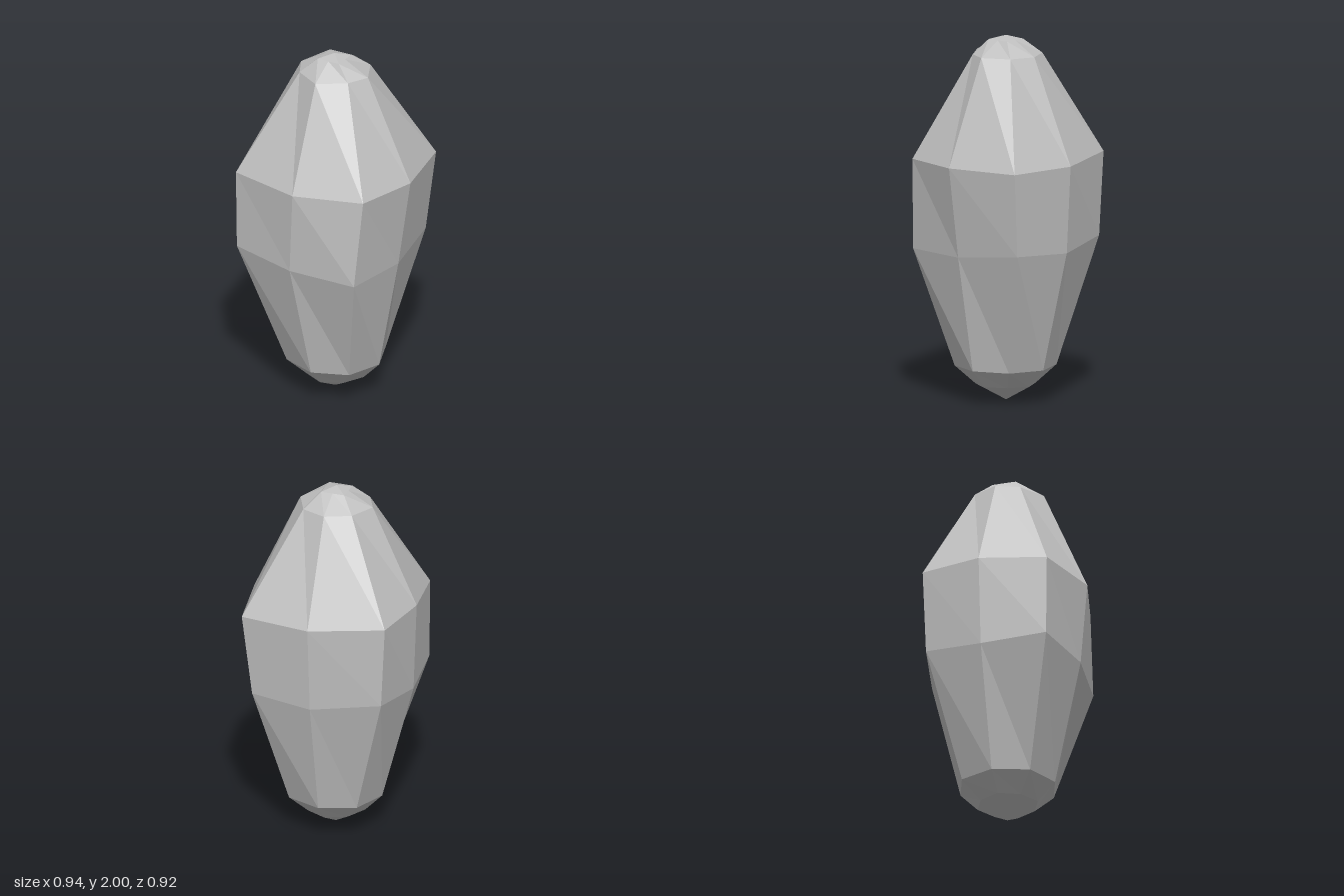
import * as THREE from 'three';

// Eight points round an axis, clockwise from the back as seen from above.
// mid: half-width at the face centres, corner: half-width at the corners.
const evenRing = (y, mid, corner, ox = 0, oz = 0) => [
  [0, -mid], [corner, -corner], [mid, 0], [corner, corner],
  [0, mid], [-corner, corner], [-mid, 0], [-corner, -corner],
].map(([x, z]) => [x + ox, y, z + oz]);

// Closed surface through a bottom tip, a stack of rings and a top tip, one flat facet per side
function facetedShell(bottom, rings, top) {
  const levels = [Array(8).fill(bottom), ...rings, Array(8).fill(top)];
  const positions = [];
  const last = levels.length - 2;
  for (let l = 0; l <= last; l++) {
    for (let i = 0; i < 8; i++) {
      const j = (i + 1) % 8;
      const a = levels[l][i], b = levels[l][j];
      const c = levels[l + 1][j], d = levels[l + 1][i];
      if (l < last) positions.push(...a, ...d, ...c);
      if (l > 0) positions.push(...a, ...c, ...b);
    }
  }
  const geometry = new THREE.BufferGeometry();
  geometry.setAttribute('position', new THREE.Float32BufferAttribute(positions, 3));
  geometry.computeVertexNormals();
  return geometry;
}

export function createModel() {
  const group = new THREE.Group();
  group.name = 'crystal';

  const stone = new THREE.MeshStandardMaterial({ color: 0xc0c0c0, flatShading: true });
  stone.name = 'pale grey stone';

  // Slightly uneven rings of the waist and shoulder
  const waist = [
    [-0.01, 0.85, -0.43], [0.34, 0.87, -0.38], [0.39, 0.83, 0], [0.33, 0.83, 0.375],
    [-0.04, 0.86, 0.43], [-0.41, 0.89, 0.36], [-0.45, 0.86, 0], [-0.385, 0.89, -0.335],
  ];
  const shoulder = [
    [-0.007, 1.33, -0.46], [0.39, 1.33, -0.405], [0.465, 1.33, 0], [0.37, 1.33, 0.345],
    [-0.007, 1.33, 0.457], [-0.413, 1.335, 0.365], [-0.47, 1.36, -0.005], [-0.41, 1.35, -0.345],
  ];
  const neck = [
    [-0.007, -0.2], [0.13, -0.147], [0.2, 0], [0.14, 0.113],
    [-0.007, 0.21], [-0.155, 0.125], [-0.215, 0.003], [-0.145, -0.138],
  ].map(([x, z]) => [x, 1.9, z]);

  const rings = [
    evenRing(0.09, 0.172, 0.115),
    evenRing(0.19, 0.27, 0.195),
    waist,
    shoulder,
    neck,
    evenRing(1.978, 0.067, 0.066, -0.007, 0.004),
  ];
  const body = new THREE.Mesh(facetedShell([-0.004, 0, 0], rings, [-0.007, 2, 0.003]), stone);
  body.name = 'crystalBody';
  group.add(body);
  return group;
}
